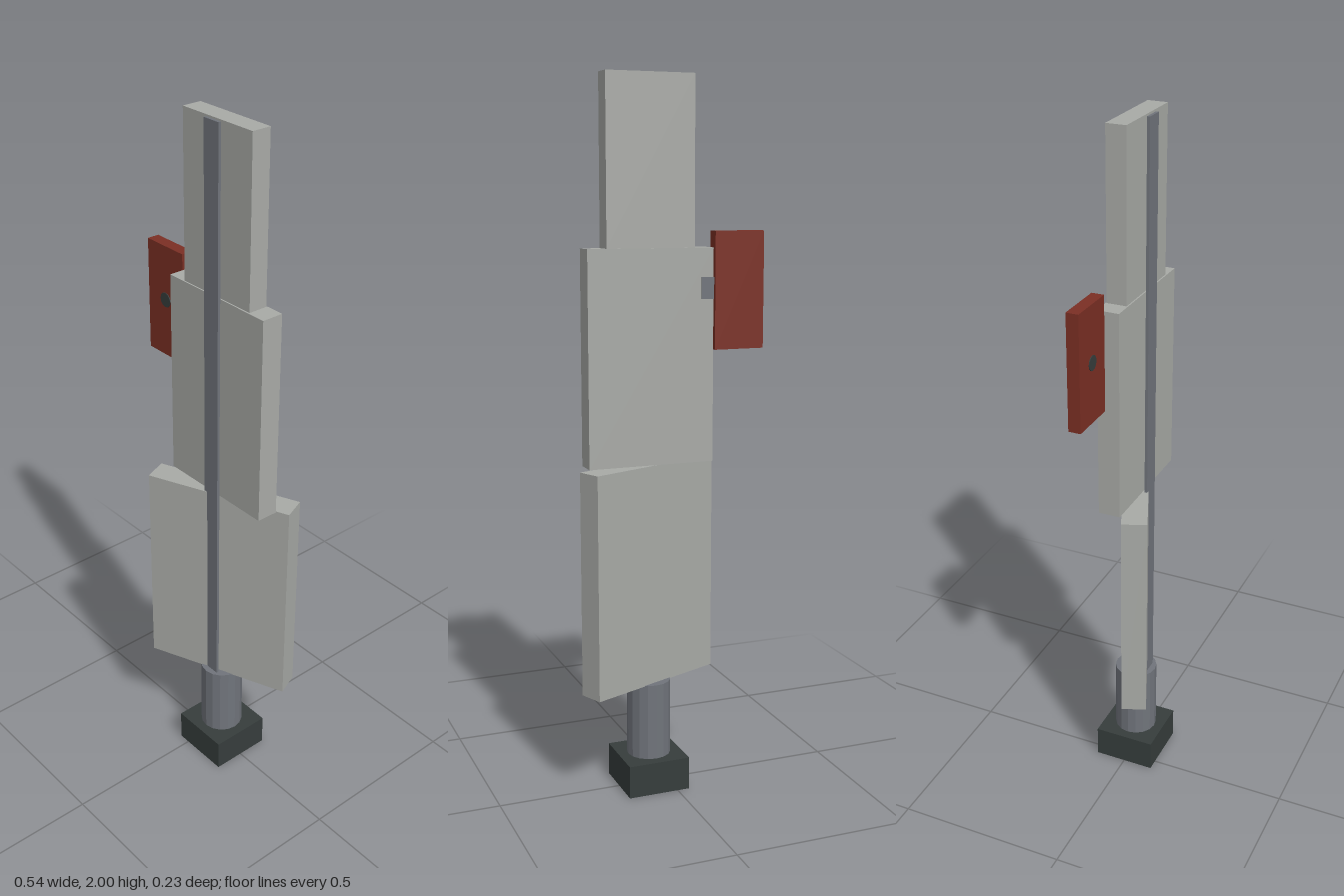
import * as THREE from 'three';

const material = (name, color) => {
  const m = new THREE.MeshStandardMaterial({ color });
  m.name = name;
  return m;
};

export function createModel() {
  const model = new THREE.Group();
  const grey = material('pale grey', 0xa8aaa6);
  const steel = material('steel grey', 0x70747b);
  const dark = material('dark slate', 0x363d3c);
  const red = material('brick red', 0x7b2f24);
  const axisX = 0.055;

  const add = (name, geometry, mat, x, y, z) => {
    const mesh = new THREE.Mesh(geometry, mat);
    mesh.name = name;
    mesh.position.set(x, y, z);
    model.add(mesh);
    return mesh;
  };
  // Box given by its lower and upper corners
  const block = (name, mat, [x0, y0, z0], [x1, y1, z1]) => add(
    name, new THREE.BoxGeometry(x1 - x0, y1 - y0, z1 - z0), mat,
    (x0 + x1) / 2, (y0 + y1) / 2, (z0 + z1) / 2);

  // Foot and round post
  block('foot', dark, [-0.035, 0, -0.091], [0.146, 0.094, 0.09]);
  const postGeometry = new THREE.CylinderGeometry(0.0625, 0.0625, 0.222, 16).toNonIndexed();
  postGeometry.computeVertexNormals();
  add('post', postGeometry, steel, axisX, 0.203, 0);

  // Three stacked slabs, the lowest turned about the post
  const lower = add('lowerSlab', new THREE.BoxGeometry(0.436, 0.633, 0.072), grey, axisX, 0.6285, -0.0015);
  lower.rotation.y = Math.PI / 8;
  block('middleSlab', grey, [-0.127, 0.945, -0.033], [0.237, 1.54, 0.03]);
  block('upperSlab', grey, [-0.072, 1.54, -0.03], [0.182, 2, 0.026]);

  // Long strip down the front
  block('frontStrip', steel, [0.028, 0.312, 0.036], [0.082, 2, 0.044]);

  // Side plate with its bracket and bolt
  block('sidePlate', red, [-0.273, 1.26, -0.046], [-0.127, 1.585, -0.011]);
  block('bracket', steel, [-0.135, 1.4, -0.038], [-0.091, 1.46, -0.031]);
  const bolt = add('bolt', new THREE.CylinderGeometry(0.021, 0.021, 0.004, 12), dark, -0.2, 1.428, -0.011);
  bolt.rotation.x = Math.PI / 2;

  return model;
}
